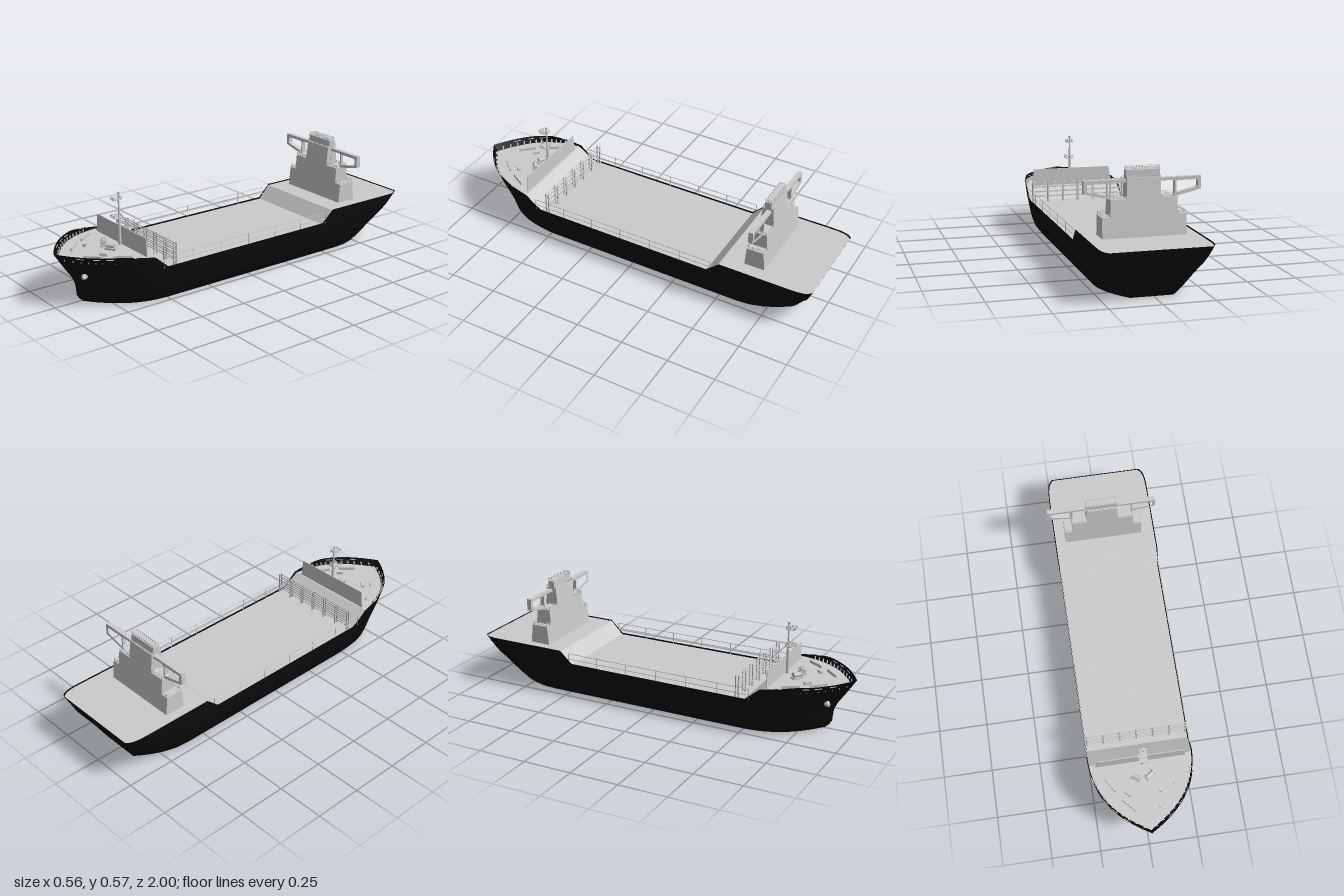
import * as THREE from 'three';
import { toCreasedNormals } from 'three/addons/utils/BufferGeometryUtils.js';

const grey = new THREE.MeshStandardMaterial({ color: 0xcccccc });
const greyThin = new THREE.MeshStandardMaterial({ color: 0xcccccc, side: THREE.DoubleSide });
const black = new THREE.MeshStandardMaterial({ color: 0x0c0c0c, side: THREE.DoubleSide });
const CX = 0.008; // centreline of the hull

// piecewise linear lookup in [[key, value], ...]
function lookup(table, k) {
  if (k <= table[0][0]) return table[0][1];
  for (let i = 1; i < table.length; i++) {
    const [a, va] = table[i - 1], [b, vb] = table[i];
    if (k <= b) return va + (vb - va) * (k - a) / (b - a);
  }
  return table[table.length - 1][1];
}

// hull lines: stem, stern, midship half width, sheer and deck height
const STEM = [[0, 0.85], [0.03, 0.883], [0.08, 0.888], [0.1, 0.89], [0.14, 0.908], [0.2, 0.95], [0.277, 1]];
const STERN = [[0, -0.86], [0.12, -0.93], [0.15, -0.957], [0.25, -1]];
const HALF = [[0, 0.205], [0.036, 0.233], [0.07, 0.245], [0.1, 0.253], [0.2, 0.266], [0.25, 0.268]];
const SHEER = [[-0.52, 0.25], [-0.45, 0.187], [0.54, 0.187], [0.61, 0.25], [0.77, 0.277]];
const DECK = [[-0.515, 0.245], [-0.45, 0.18], [0.53, 0.18], [0.62, 0.243]];
const BOW0 = 0.45, STERN0 = -0.6;

// point on the hull skin at nominal station s (z at the sheer) and height y
function hullPoint(s, y) {
  let half = lookup(HALF, y), z = s;
  if (s > BOW0) {
    const t = (s - BOW0) / (1 - BOW0);
    z = BOW0 + (lookup(STEM, y) - BOW0) * t;
    half *= 1 - Math.pow(t, 2.7 + Math.min(y / 0.277, 1) * 0.9);
  } else if (s < STERN0) {
    const t = (s - STERN0) / (-1 - STERN0);
    z = STERN0 + (lookup(STERN, y) - STERN0) * t;
    const k = Math.min(y / 0.25, 1);
    half *= 1 - (0.5 - 0.39 * k) * Math.pow(t, 2 + 14 * k * k * k);
  }
  return [half, z];
}

// skin over equal-length rows of [x, y, z] points
function loft(rows, crease) {
  const n = rows[0].length, index = [];
  for (let i = 0; i < rows.length - 1; i++)
    for (let j = 0; j < n - 1; j++) {
      const a = i * n + j, b = a + n;
      index.push(a, a + 1, b, b, a + 1, b + 1);
    }
  const g = new THREE.BufferGeometry();
  g.setAttribute('position', new THREE.Float32BufferAttribute(rows.flat(2), 3));
  g.setIndex(index);
  return toCreasedNormals(g, crease);
}

function add(parent, name, geometry, material = grey, x = 0, y = 0, z = 0) {
  const m = new THREE.Mesh(geometry, material);
  m.name = name;
  m.position.set(x, y, z);
  parent.add(m);
  return m;
}
const box = (p, name, w, h, d, x, y, z, mat = grey) => add(p, name, new THREE.BoxGeometry(w, h, d), mat, x, y, z);
const cyl = (p, name, r0, r1, h, x, y, z, n = 12) => add(p, name, new THREE.CylinderGeometry(r0, r1, h, n), grey, x, y, z);

// straight railing between two floor points
function railing(parent, a, b, height, posts, bars, r = 0.0012) {
  const g = new THREE.Group();
  g.name = 'railing';
  const dx = b[0] - a[0], dz = b[2] - a[2], len = Math.hypot(dx, dz);
  for (let i = 0; i < posts; i++) box(g, 'railPost', 2 * r, height, 2 * r, len * (i / (posts - 1) - 0.5), height / 2, 0);
  for (let i = 1; i <= bars; i++) box(g, 'railBar', len, 1.6 * r, 1.6 * r, 0, height * i / bars, 0);
  g.position.set((a[0] + b[0]) / 2, a[1], (a[2] + b[2]) / 2);
  g.rotation.y = Math.atan2(-dz, dx);
  parent.add(g);
}
function railRing(parent, hx, hz, y, h, posts, z) {
  for (const s of [-1, 1]) {
    railing(parent, [-hx, y, z + s * hz], [hx, y, z + s * hz], h, posts, 2, 0.0009);
    railing(parent, [s * hx, y, z - hz], [s * hx, y, z + hz], h, 3, 2, 0.0009);
  }
}

function buildHull(ship) {
  const stations = [-1, -0.985, -0.965, -0.93, -0.88, -0.8, -0.7, -0.6, -0.52, -0.45, -0.2, 0.2, 0.45, 0.5, 0.54, 0.58, 0.61];
  for (let s = 0.65; s < 0.999; s += 0.025) stations.push(s);
  stations.push(1);
  const levels = [0, 0.06, 0.14, 0.26, 0.38, 0.5, 0.62, 0.75, 0.88, 1];
  const rows = stations.map(s => {
    const side = levels.map(v => {
      const y = v * lookup(SHEER, s), [h, z] = hullPoint(s, y);
      return [h, y, z];
    });
    const right = side.map(([h, y, z]) => [CX - h, y, z]).reverse();
    return [...right, ...side.map(([h, y, z]) => [CX + h, y, z])];
  });
  add(ship, 'hull', loft(rows, 0.5), black);
  const n = levels.length;
  const transom = levels.map((_, j) => [rows[0][n - 1 - j], rows[0][n + j]]);
  add(ship, 'transom', loft(transom, 0.5), black);

  // deck with ramps between the three heights
  const marks = [...stations.filter(s => s < -0.53), -0.515, -0.45, 0, 0.45, 0.53, 0.575, 0.62, ...stations.filter(s => s > 0.64)];
  const deck = marks.map(s => {
    const y = lookup(DECK, s), [h, z] = hullPoint(s, y), w = Math.max(h - 0.004, 0);
    return [[CX - w, y, z], [CX + w, y, z]];
  });
  add(ship, 'deck', loft(deck.reverse(), 0.2), greyThin);

  for (const side of [-1, 1]) {
    // bulwark brackets and mooring openings follow the bow curve
    for (let s = 0.7; s < 0.98; s += 0.025) {
      const [h, z] = hullPoint(s, 0.255);
      box(ship, 'bulwarkBracket', 0.012, 0.018, 0.003, CX + side * (h - 0.009), 0.252, z);
    }
    for (const s of [0.7, 0.82, 0.87, 0.925]) {
      const [h, z] = hullPoint(s, 0.266), [h2, z2] = hullPoint(s + 0.01, 0.266);
      const m = box(ship, 'mooringOpening', 0.004, 0.004, 0.035, CX + side * h, 0.266, z);
      m.rotation.y = Math.atan2(side * (h2 - h), z2 - z);
    }
    // anchor with its hawse pipe
    const anchor = new THREE.Group();
    anchor.name = 'anchor';
    cyl(anchor, 'hawsePipe', 0.015, 0.017, 0.04, 0, 0, 0, 16);
    cyl(anchor, 'anchorHead', 0.008, 0.013, 0.016, 0, 0.026, 0, 16);
    anchor.position.set(CX + side * 0.066, 0.165, 0.868);
    anchor.quaternion.setFromUnitVectors(new THREE.Vector3(0, 1, 0), new THREE.Vector3(side * 0.5, -0.3, 0.7).normalize());
    ship.add(anchor);
    // main deck side rail
    railing(ship, [CX + side * 0.262, 0.18, -0.47], [CX + side * 0.262, 0.18, 0.55], 0.06, 7, 2, 0.0015);
  }
}

function buildForecastle(ship) {
  // breakwater wall
  const wall = new THREE.Shape([[-0.228, 0.235], [0.228, 0.235], [0.217, 0.335], [-0.217, 0.335]].map(p => new THREE.Vector2(...p)));
  add(ship, 'breakwater', new THREE.ExtrudeGeometry(wall, { depth: 0.004, bevelEnabled: false }), grey, CX, 0, 0.621);

  // two-row cargo frame across the deck
  for (const z of [0.475, 0.49]) {
    for (let i = 0; i < 7; i++) box(ship, 'framePost', 0.007, 0.117, 0.005, CX + (i / 6 - 0.5) * 0.505, 0.236, z);
    for (const y of [0.21, 0.236, 0.262, 0.286]) box(ship, 'frameBar', 0.505, 0.004, 0.003, CX, y, z);
  }

  // mooring gear
  for (const s of [-1, 1]) {
    const spots = [[0.17, 0.725, 0.09, 0.008, -0.55], [0.09, 0.84, 0.09, 0.008, -0.75], [0.085, 0.78, 0.035, 0.016, -0.8]];
    for (const [x, z, len, w, a] of spots) {
      const m = box(ship, 'mooringRoller', w, 0.016, len, CX + s * x, 0.25, z);
      m.rotation.y = -a * -s;
    }
    const winch = new THREE.Group();
    winch.name = 'winch';
    box(winch, 'winchBase', 0.055, 0.01, 0.03, 0, 0.005, 0);
    cyl(winch, 'winchDrum', 0.011, 0.011, 0.045, 0, 0.019, 0).rotation.z = Math.PI / 2;
    for (const e of [-1, 1]) cyl(winch, 'winchFlange', 0.015, 0.015, 0.004, e * 0.02, 0.019, 0).rotation.z = Math.PI / 2;
    winch.position.set(CX + s * 0.035, 0.243, 0.705);
    winch.rotation.y = s * 0.6;
    ship.add(winch);
  }

  // mast with two lookout platforms
  const mast = new THREE.Group();
  mast.name = 'mast';
  cyl(mast, 'lowerMast', 0.007, 0.008, 0.15, 0, 0.315, 0);
  cyl(mast, 'upperMast', 0.004, 0.005, 0.11, 0, 0.44, 0);
  cyl(mast, 'topMast', 0.002, 0.003, 0.02, 0, 0.5, 0);
  cyl(mast, 'mastLamp', 0.008, 0.004, 0.01, 0, 0.507, 0);
  for (const [y, w] of [[0.388, 0.021], [0.478, 0.016]]) {
    box(mast, 'mastPlatform', 2 * w, 0.003, 0.044, 0, y, 0.014);
    railRing(mast, w, 0.022, y, 0.014, 5, 0.014);
  }
  mast.position.set(0.015, 0, 0.637);
  ship.add(mast);
}

// closed path with rounded corners
function roundedPath(points, r) {
  const p = points.map(q => new THREE.Vector2(...q)), path = new THREE.Path();
  p.forEach((c, i) => {
    const a = p[(i + p.length - 1) % p.length], b = p[(i + 1) % p.length];
    const from = c.clone().add(a.clone().sub(c).setLength(r)), to = c.clone().add(b.clone().sub(c).setLength(r));
    if (i) path.lineTo(from.x, from.y); else path.moveTo(from.x, from.y);
    path.quadraticCurveTo(c.x, c.y, to.x, to.y);
  });
  path.closePath();
  return path;
}

function buildBridge(ship) {
  const bridge = new THREE.Group();
  bridge.name = 'bridge';
  bridge.position.z = -0.675;
  const depth = y => 0.054 - (y - 0.24) * 0.095;
  // stepped tiers sharing one sloping front and back
  for (const [name, hx, y0, y1] of [['lowerTier', 0.203, 0.24, 0.343], ['middleTier', 0.161, 0.343, 0.422], ['upperTier', 0.081, 0.422, 0.518]]) {
    const g = new THREE.BoxGeometry(2 * hx, y1 - y0, 2).translate(0, (y0 + y1) / 2, 0), p = g.attributes.position;
    for (let i = 0; i < p.count; i++) p.setZ(i, p.getZ(i) * depth(p.getY(i)));
    g.computeVertexNormals();
    add(bridge, name, g);
  }
  box(bridge, 'wheelhouse', 0.162, 0.037, 0.034, 0, 0.5345, 0);
  railRing(bridge, 0.08, 0.016, 0.553, 0.014, 12, 0);
  railRing(bridge, 0.08, 0.027, 0.518, 0.011, 12, 0);
  for (const s of [-1, 1]) {
    for (const e of [-1, 1]) {
      railing(bridge, [s * 0.083, 0.422, e * 0.035], [s * 0.159, 0.422, e * 0.035], 0.015, 6, 2, 0.0009);
      railing(bridge, [s * 0.163, 0.343, e * 0.042], [s * 0.2, 0.343, e * 0.042], 0.015, 4, 2, 0.0009);
    }
    railing(bridge, [s * 0.159, 0.422, -0.035], [s * 0.159, 0.422, 0.035], 0.015, 4, 2, 0.0009);
    railing(bridge, [s * 0.2, 0.343, -0.042], [s * 0.2, 0.343, 0.042], 0.015, 4, 2, 0.0009);
    // open-framed bridge wing
    const at = pts => pts.map(([x, y]) => [s * x, y]);
    const wing = new THREE.Shape(at([[0.078, 0.511], [0.282, 0.511], [0.282, 0.45], [0.158, 0.421], [0.078, 0.421]]).map(q => new THREE.Vector2(...q)));
    wing.holes.push(roundedPath(at([[0.161, 0.495], [0.266, 0.495], [0.266, 0.46], [0.161, 0.436]]), 0.01));
    wing.holes.push(roundedPath(at([[0.082, 0.497], [0.153, 0.497], [0.153, 0.423], [0.082, 0.423]]), 0.009));
    add(bridge, 'bridgeWing', new THREE.ExtrudeGeometry(wing, { depth: 0.024, bevelEnabled: false, curveSegments: 6 }), grey, 0, 0, -0.018);
  }
  ship.add(bridge);
}

export function createModel() {
  const ship = new THREE.Group();
  ship.name = 'cargoShip';
  buildHull(ship);
  buildForecastle(ship);
  buildBridge(ship);
  return ship;
}
